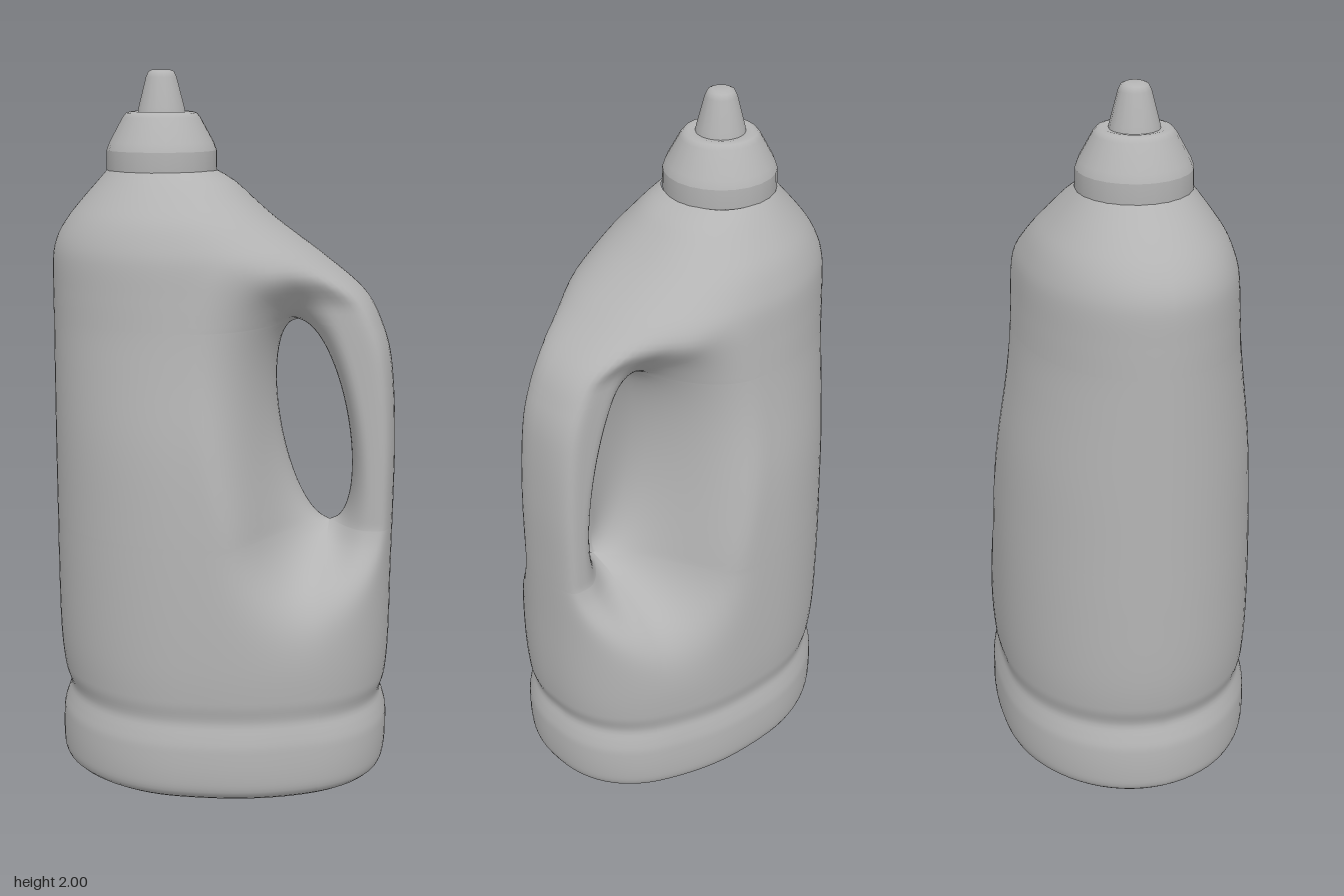
import * as THREE from 'three';
import { mergeVertices } from 'three/addons/utils/BufferGeometryUtils.js';

// Bottle sections: y, left x, right x, half depth, x of the widest point
const SECTIONS = [
  [0, -0.445, 0.435, 0.325, -0.08], [0.02, -0.476, 0.463, 0.354, -0.08],
  [0.06, -0.485, 0.475, 0.366, -0.08], [0.16, -0.482, 0.477, 0.366, -0.08],
  [0.2, -0.47, 0.468, 0.358, -0.08], [0.235, -0.46, 0.458, 0.35, -0.08],
  [0.29, -0.476, 0.472, 0.359, -0.08], [0.4, -0.487, 0.48, 0.365, -0.08],
  [0.6, -0.49, 0.482, 0.365, -0.08], [0.8, -0.49, 0.485, 0.359, -0.08],
  [1.0, -0.49, 0.485, 0.345, -0.09], [1.2, -0.49, 0.472, 0.318, -0.1],
  [1.3, -0.49, 0.447, 0.306, -0.1], [1.4, -0.49, 0.393, 0.297, -0.11],
  [1.5, -0.487, 0.272, 0.287, -0.12], [1.55, -0.473, 0.202, 0.272, -0.13],
  [1.6, -0.443, 0.135, 0.249, -0.14], [1.65, -0.402, 0.078, 0.214, -0.155],
  [1.7, -0.357, 0.022, 0.176, -0.17], [1.73, -0.33, -0.03, 0.152, -0.18],
];
const HOLE = { y: 1.03, h: 0.29, w: 0.099 };
const holeX = (y) => 0.256 - 0.048 * (y - HOLE.y) / HOLE.h;
const { smoothstep, lerp, clamp } = THREE.MathUtils;

// Smooth interpolation of the sections at height y
function sectionAt(y) {
  const S = SECTIONS, last = S.length - 1;
  let i = 0;
  while (i < last - 1 && y > S[i + 1][0]) i++;
  const d = S[i + 1][0] - S[i][0], t = clamp((y - S[i][0]) / d, 0, 1);
  const slope = (k, c) => {
    const a = S[Math.max(k - 1, 0)], b = S[Math.min(k + 1, last)];
    return (b[c] - a[c]) / (b[0] - a[0]) * d;
  };
  return [1, 2, 3, 4].map((c) =>
    (2 * t ** 3 - 3 * t * t + 1) * S[i][c] + (t ** 3 - 2 * t * t + t) * slope(i, c) +
    (3 * t * t - 2 * t ** 3) * S[i + 1][c] + (t ** 3 - t * t) * slope(i + 1, c));
}

// Half depth of the bottle at x, y: egg section, narrowed to a grip, rounded into the hole
function halfDepth(x, y, [xL, xR, depth, xc]) {
  const right = x > xc;
  const t = clamp(right ? (x - xc) / (xR - xc) : (xc - x) / (xc - xL), 0, 1);
  const n = right ? 2.3 : 2;
  const egg = depth * (1 - t ** n) ** (1 / n);
  const grip = 0.113 + 6 * Math.max(0, 0.3 - x) ** 2 +
    0.3 * (1 - smoothstep(y, 0.35, 0.76)) + 0.18 * smoothstep(y, 1.36, 1.6);
  const z = egg * grip / (egg ** 6 + grip ** 6) ** (1 / 6);
  const dx = (x - holeX(y)) / HOLE.w, r = Math.hypot(dx, (y - HOLE.y) / HOLE.h);
  const reach = 0.55 + 1.35 * (Math.min(dx, 0) / Math.max(r, 0.01)) ** 2;
  const q = clamp((r - 1) / reach, 0, 1);
  return z * Math.sqrt(1 - (1 - q) ** 2);
}

// Row heights, with rows bunched at both ends of the hole
function rowHeights() {
  const ys = [];
  const y0 = HOLE.y - HOLE.h, y1 = HOLE.y + HOLE.h;
  for (let i = 0; i < 26; i++) ys.push(0.3 * i / 26);
  for (let i = 0; i < 18; i++) ys.push(lerp(0.3, y0, i / 18));
  for (let i = 0; i < 32; i++) ys.push(HOLE.y - HOLE.h * Math.cos(Math.PI * i / 32));
  for (let i = 0; i <= 26; i++) ys.push(lerp(y1, 1.73, i / 26));
  return ys;
}

function bottleGeometry() {
  const ys = rowHeights(), pos = [], index = [];
  const y0 = HOLE.y - HOLE.h, y1 = HOLE.y + HOLE.h;
  // One sheet per side of the hole, front and back
  for (const side of [1, -1]) for (const [grip, cols] of [[false, 36], [true, 20]]) {
    const start = pos.length / 3;
    ys.forEach((y, i) => {
      const s = sectionAt(y);
      const open = y > y0 && y < y1;
      const w = open ? HOLE.w * Math.sqrt(Math.max(0, 1 - ((y - HOLE.y) / HOLE.h) ** 2)) : 0;
      const mid = y >= y1 ? lerp(holeX(y1), -0.15, (y - y1) / (1.73 - y1)) : holeX(Math.max(y, y0));
      const a = grip ? mid + w : s[0], b = grip ? s[1] : mid - w;
      for (let j = 0; j <= cols; j++) {
        const x = lerp(a, b, (1 - Math.cos(Math.PI * j / cols)) / 2);
        const rim = open && j === (grip ? 0 : cols);
        const edge = j === (grip ? cols : 0);
        pos.push(x, y, rim || edge ? 0 : side * halfDepth(x, y, s));
        if (i && j) {
          const d = start + i * (cols + 1) + j, c = d - 1, f = d - cols - 1, e = f - 1;
          if (side > 0) index.push(e, f, d, e, d, c);
          else index.push(e, d, f, e, c, d);
        }
      }
    });
  }
  const g = new THREE.BufferGeometry();
  g.setAttribute('position', new THREE.Float32BufferAttribute(pos, 3));
  g.setIndex(index);
  const merged = mergeVertices(g, 1e-5);
  merged.computeVertexNormals();
  return merged;
}

// Flat underside following the lowest section
function baseGeometry() {
  const s = sectionAt(0), pts = [];
  for (let i = 0; i < 72; i++) {
    const a = Math.PI * 2 * i / 72;
    const x = lerp(s[0], s[1], (1 - Math.cos(a)) / 2);
    pts.push(new THREE.Vector2(x, Math.sign(Math.sin(a)) * halfDepth(x, 0, s)));
  }
  return new THREE.ShapeGeometry(new THREE.Shape(pts)).rotateX(Math.PI / 2);
}

export function createModel() {
  const group = new THREE.Group();
  const grey = new THREE.MeshStandardMaterial({ color: 0xb4b4b4 });
  grey.name = 'grey plastic';
  const add = (name, geometry) => {
    const mesh = new THREE.Mesh(geometry, grey);
    mesh.name = name;
    group.add(mesh);
    return mesh;
  };
  const turned = (name, profile, segments) => {
    const g = new THREE.LatheGeometry(profile.map(([r, y]) => new THREE.Vector2(r, y)), segments);
    add(name, g).position.x = -0.178;
  };

  add('bottleWithHandle', bottleGeometry());
  add('base', baseGeometry());

  // Cap: straight collar, tapered shoulder, nozzle
  turned('capCollar', [[0, 1.725], [0.15, 1.725], [0.154, 1.73], [0.153, 1.783]], 24);
  turned('capShoulder', [[0.153, 1.783], [0.145, 1.805], [0.108, 1.872], [0.098, 1.884],
    [0.085, 1.888], [0.065, 1.884]], 24);
  turned('nozzle', [[0.068, 1.88], [0.064, 1.9], [0.043, 1.98], [0.036, 1.995], [0.025, 2], [0, 2]], 16);
  return group;
}
